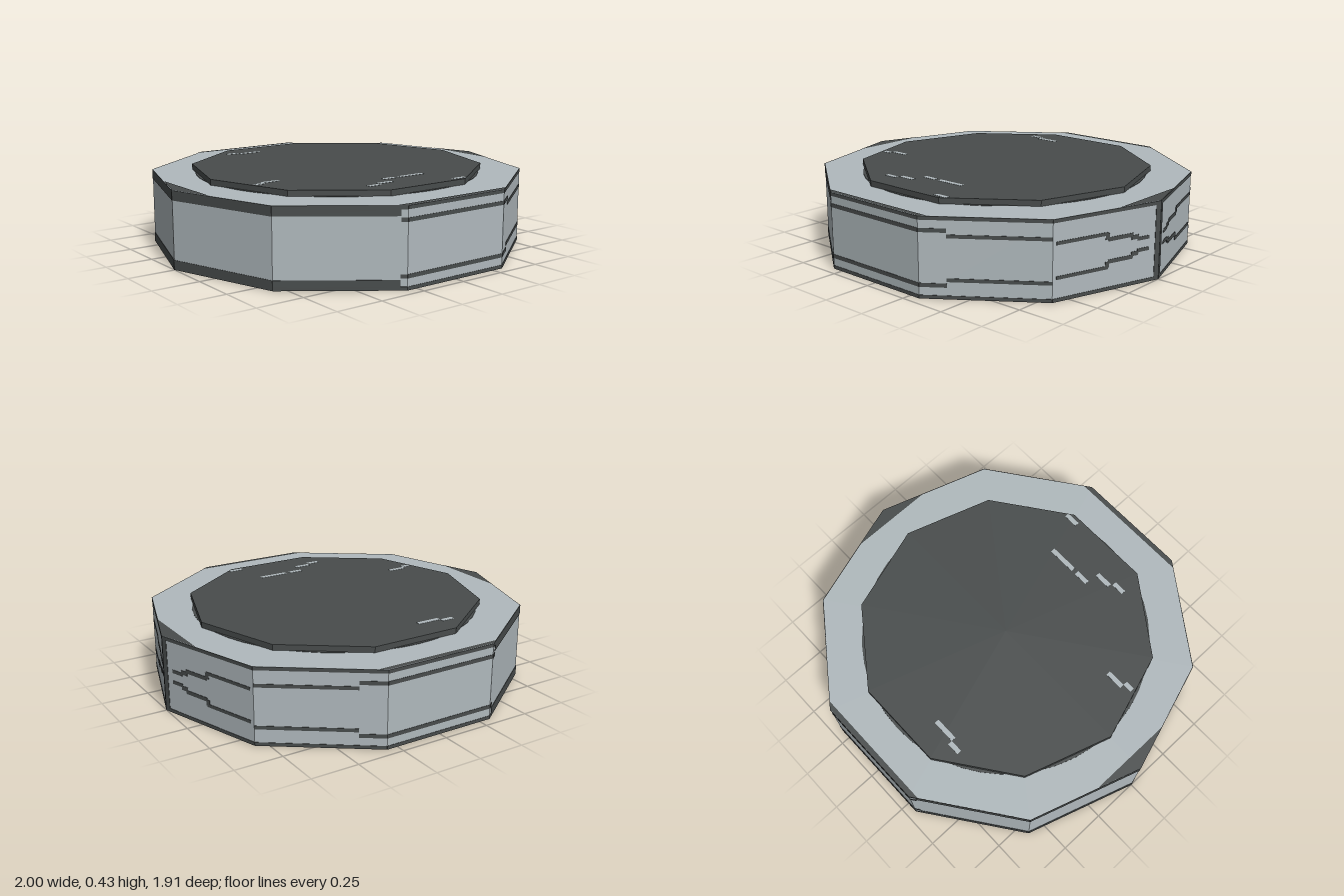
import * as THREE from 'three';

export function createModel() {
  const group = new THREE.Group();
  const grey = new THREE.MeshStandardMaterial({ color: 0xb0b9bd });
  grey.name = 'light grey';
  const dark = new THREE.MeshStandardMaterial({ color: 0x484c4c });
  dark.name = 'dark grey';
  grey.flatShading = dark.flatShading = true;

  const add = (name, geo, mat, x = 0, y = 0, z = 0) => {
    const m = new THREE.Mesh(geo, mat);
    m.name = name;
    m.position.set(x, y, z);
    group.add(m);
    return m;
  };

  // Ten-sided body and raised lid, each with a corner on the x axis
  const decagon = (r, h) => new THREE.CylinderGeometry(r, r, h, 10, 1, false, Math.PI / 2);
  add('body', decagon(1, 0.4), grey, 0, 0.2);
  add('lid', decagon(0.785, 0.03), dark, 0, 0.415);
  add('lidSeat', new THREE.CylinderGeometry(0.763, 0.763, 0.002, 48), dark, 0, 0.401);

  // Corner x positions of one half, and the depth of the outline at x
  const corners = [-1, -0.809, -0.309, 0.309, 0.809, 1];
  const depths = [0, 0.588, 0.951, 0.951, 0.588, 0];
  const depthAt = (x, i) => THREE.MathUtils.mapLinear(x, corners[i], corners[i + 1], depths[i], depths[i + 1]);

  // Thin side plate between two x positions, repeated front and back, split at corners
  function sideStrip(name, x0, x1, y0, y1) {
    for (let i = 0; i < 5; i++) {
      const a = Math.max(x0, corners[i]), b = Math.min(x1, corners[i + 1]);
      if (b - a < 0.001) continue;
      const za = depthAt(a, i), zb = depthAt(b, i);
      for (const s of [1, -1]) {
        const geo = new THREE.BoxGeometry(Math.hypot(b - a, zb - za), y1 - y0, 0.004);
        const m = add(name, geo, dark, (a + b) / 2, (y0 + y1) / 2, s * (za + zb) / 2);
        m.rotation.y = -s * Math.atan2(zb - za, b - a);
      }
    }
  }

  // Edge bands, wide on one end, and the stepped lines closing toward the seam
  // [from x, to x, inner and outer distance from mid height]
  const strips = [
    [-1, 1, 0.182, 0.2],
    [-1, -0.335, 0.15, 0.185],
    [-0.335, 0.415, 0.123, 0.143],
    [0.415, 0.809, 0.097, 0.115],
    [0.815, 0.905, 0.075, 0.092],
    [0.9, 0.907, 0.055, 0.085],
    [0.905, 0.95, 0.045, 0.065],
    [0.947, 0.96, 0.03, 0.052],
    [0.958, 0.98, 0.02, 0.038],
  ];
  for (const [x0, x1, inner, outer] of strips) {
    sideStrip('upperLine', x0, x1, 0.2 + inner, 0.2 + outer);
    sideStrip('lowerLine', x0, x1, 0.2 - outer, 0.2 - inner);
  }
  sideStrip('seam', 0.991, 1, 0, 0.4);

  // Dark patches on the margins of the top and the underside
  function marginPatch(name, pts) {
    const geo = new THREE.ShapeGeometry(new THREE.Shape(pts.map(([x, y]) => new THREE.Vector2(x, y))));
    add('top' + name, geo, dark, 0, 0.402).rotation.x = -Math.PI / 2;
    add('bottom' + name, geo, dark, 0, -0.001).rotation.x = Math.PI / 2;
  }
  for (const s of [1, -1]) {
    marginPatch('CornerPatch', [[s, 0], [s * 0.925, 0.23], [s * 0.925, -0.23]]);
    marginPatch('EdgePatch', [[-0.309, s * 0.951], [0.309, s * 0.951], [0.345, s * 0.925], [-0.345, s * 0.925]]);
  }

  // Dashed circle on the underside
  const dashes = 40, step = (Math.PI * 2) / dashes;
  for (let i = 0; i < dashes; i++) {
    const geo = new THREE.RingGeometry(0.757, 0.767, 3, 1, i * step, step * 0.65);
    add('bottomDash', geo, dark, 0, -0.001).rotation.x = Math.PI / 2;
  }

  // Pale flecks on the lid [x, z, length]
  const flecks = [
    [-0.285, -0.62, 0.07], [-0.185, -0.595, 0.13], [-0.585, 0.23, 0.1], [-0.66, 0.255, 0.05],
    [-0.055, 0.51, 0.08], [0.09, 0.51, 0.16], [-0.145, 0.585, 0.09], [-0.235, 0.612, 0.07], [0.23, 0.715, 0.08],
  ];
  for (const [x, z, w] of flecks) add('lidFleck', new THREE.BoxGeometry(w, 0.002, 0.025), grey, x, 0.43, z);

  return group;
}
